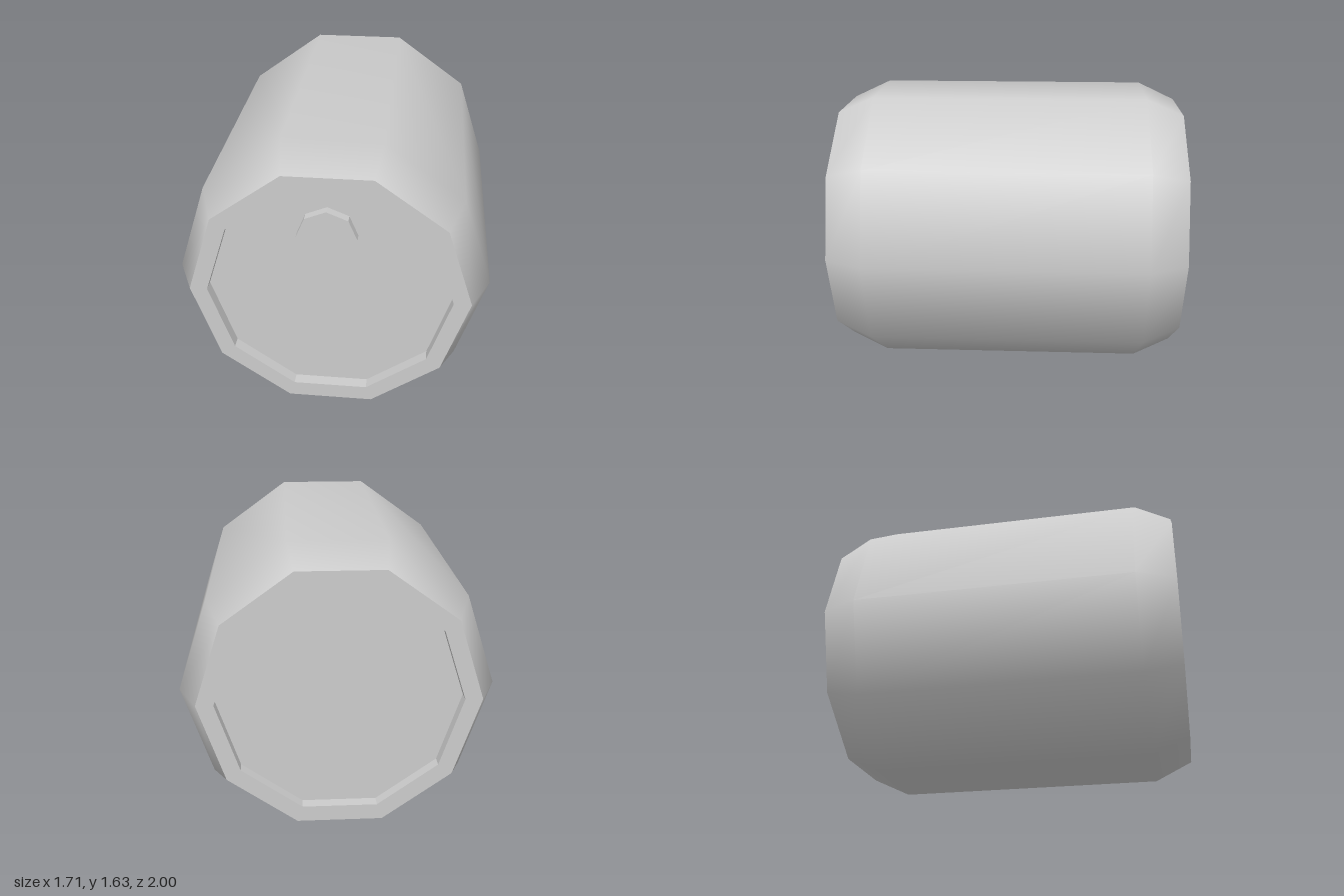
import * as THREE from 'three';

const SIDES = 10;
const CENTER_Y = 0.815;
const RIM_R = 0.755, HEAD_R = 0.66, RECESS = 0.065;

// Ten-sided turned shape lying along z; points are [radius, z]
function turned(name, points, material) {
  const profile = points.map(([r, z]) => new THREE.Vector2(r, z));
  const geometry = new THREE.LatheGeometry(profile, SIDES, Math.PI / 2);
  geometry.rotateX(Math.PI / 2);
  const mesh = new THREE.Mesh(geometry, material);
  mesh.name = name;
  return mesh;
}

export function createModel() {
  const smooth = new THREE.MeshStandardMaterial({ color: 0xcccccc });
  const flat = new THREE.MeshStandardMaterial({ color: 0xcccccc, flatShading: true });

  const barrel = new THREE.Group();
  barrel.name = 'barrel';
  barrel.position.y = CENTER_Y;

  // Smooth body tapering at both ends
  barrel.add(turned('body', [[RIM_R, -1], [0.857, -0.785], [0.857, 0.785], [RIM_R, 1]], smooth));

  // Rims with recessed heads at both ends
  const headProfile = [[RIM_R, 1], [HEAD_R, 1], [HEAD_R, 1 - RECESS], [0, 1 - RECESS]];
  const frontHead = turned('frontHead', headProfile, flat);
  const backHead = turned('backHead', headProfile, flat);
  backHead.rotation.y = Math.PI;
  barrel.add(frontHead, backHead);

  // Eight-sided plug standing out of the front head
  const plugDepth = 0.05;
  const plugGeometry = new THREE.CylinderGeometry(0.16, 0.16, plugDepth, 8);
  plugGeometry.rotateX(Math.PI / 2);
  const plug = new THREE.Mesh(plugGeometry, flat);
  plug.name = 'plug';
  plug.position.set(-0.01, 1.17 - CENTER_Y, 1 - RECESS + plugDepth / 2);
  barrel.add(plug);

  const model = new THREE.Group();
  model.name = 'model';
  model.add(barrel);
  return model;
}
